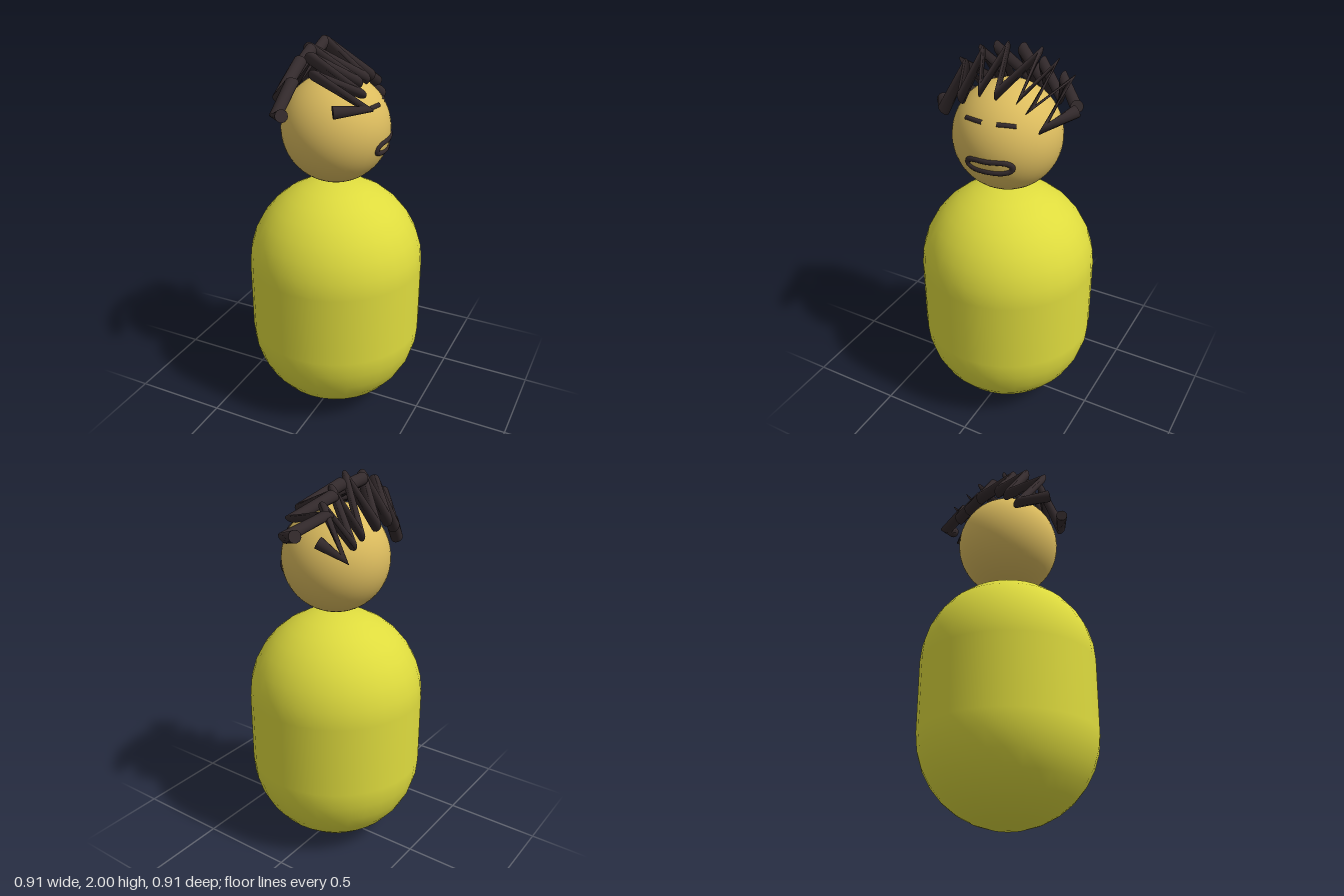
import * as THREE from 'three';

const HEAD_Y = 1.563, HEAD_R = 0.273;

// Straight-sided path whose tangent at each corner is the mitre direction
class ZigzagCurve extends THREE.Curve {
  constructor(points) {
    super();
    this.points = points.map((p) => new THREE.Vector3(...p));
  }
  getPointAt(u) {
    return this.points[Math.round(u * (this.points.length - 1))].clone();
  }
  getTangentAt(u) {
    const p = this.points, i = Math.round(u * (p.length - 1));
    const t = new THREE.Vector3();
    if (i > 0) t.add(p[i].clone().sub(p[i - 1]).normalize());
    if (i < p.length - 1) t.add(p[i + 1].clone().sub(p[i]).normalize());
    return t.normalize();
  }
}

// A jagged lock of hair: a mitred tube with a disc closing each end
function hairStroke(name, points, radius, material) {
  const group = new THREE.Group();
  group.name = name;
  const curve = new ZigzagCurve(points);
  group.add(new THREE.Mesh(new THREE.TubeGeometry(curve, points.length - 1, radius, 14), material));
  for (const u of [0, 1]) {
    const cap = new THREE.Mesh(new THREE.CircleGeometry(radius, 14), material);
    const outward = curve.getTangentAt(u).multiplyScalar(u ? 1 : -1);
    cap.position.copy(curve.getPointAt(u));
    cap.quaternion.setFromUnitVectors(new THREE.Vector3(0, 0, 1), outward);
    group.add(cap);
  }
  group.children.forEach((m) => { m.name = name; });
  return group;
}

// Line drawn on the +x side of the head through (y, z) points
function faceLine(name, yz, radius, closed, material) {
  const r = HEAD_R - 0.005;
  const points = yz.map(([y, z]) => {
    const dy = y - HEAD_Y;
    return new THREE.Vector3(Math.sqrt(r * r - dy * dy - z * z), y, z);
  });
  const curve = new THREE.CatmullRomCurve3(points, closed);
  const mesh = new THREE.Mesh(new THREE.TubeGeometry(curve, closed ? 64 : 12, radius, 10, closed), material);
  mesh.name = name;
  return mesh;
}

export function createModel() {
  const model = new THREE.Group();
  model.name = 'figure';
  const yellow = new THREE.MeshStandardMaterial({ name: 'yellow', color: 0xdedb3e });
  const skin = new THREE.MeshStandardMaterial({ name: 'skin', color: 0xdcbc5e });
  const dark = new THREE.MeshStandardMaterial({ name: 'dark brown', color: 0x332a2c, side: THREE.DoubleSide });

  // Body
  const body = new THREE.Mesh(new THREE.CapsuleGeometry(0.457, 0.373, 8, 32), yellow);
  body.name = 'body';
  body.position.y = 0.645;
  model.add(body);

  // Head
  const head = new THREE.Mesh(new THREE.SphereGeometry(HEAD_R, 48, 32), skin);
  head.name = 'head';
  head.position.y = HEAD_Y;
  model.add(head);

  // Eyes and mouth
  model.add(
    faceLine('leftEye', [[1.702, 0.108], [1.706, 0.055], [1.706, 0.008]], 0.012, false, dark),
    faceLine('rightEye', [[1.706, -0.06], [1.705, -0.1], [1.699, -0.142]], 0.012, false, dark),
    faceLine('mouth', [
      [1.53, 0.05], [1.534, -0.03], [1.534, -0.12], [1.52, -0.142], [1.495, -0.138],
      [1.479, -0.1], [1.477, -0.03], [1.481, 0.04], [1.497, 0.074], [1.517, 0.072],
    ], 0.015, true, dark),
  );

  // Hair: one zigzag over the forehead, one over the back of the head
  model.add(hairStroke('frontHair', [
    [-0.02, 1.74, -0.345], [0.13, 1.69, -0.25], [-0.14, 1.84, -0.26], [0.13, 1.77, -0.185],
    [-0.12, 1.91, -0.19], [0.12, 1.81, -0.125], [-0.11, 1.95, -0.11], [0.14, 1.82, -0.02],
    [-0.11, 1.95, 0.06], [0.14, 1.82, 0.07], [-0.05, 1.93, 0.16], [0.19, 1.79, 0.14],
    [0, 1.87, 0.225], [0.25, 1.74, 0.2], [0.12, 1.73, 0.285],
  ], 0.031, dark));
  model.add(hairStroke('backHair', [
    [-0.12, 1.72, -0.305], [-0.235, 1.65, -0.26], [-0.1, 1.86, -0.235], [-0.22, 1.7, -0.18],
    [-0.08, 1.92, -0.14], [-0.22, 1.73, -0.11], [-0.08, 1.968, -0.035], [-0.24, 1.76, -0.015],
    [-0.08, 1.955, 0.1], [-0.23, 1.76, 0.1], [-0.09, 1.92, 0.19], [-0.23, 1.72, 0.16],
    [-0.08, 1.85, 0.29], [-0.215, 1.65, 0.22], [-0.11, 1.7, 0.345],
  ], 0.031, dark));

  return model;
}
